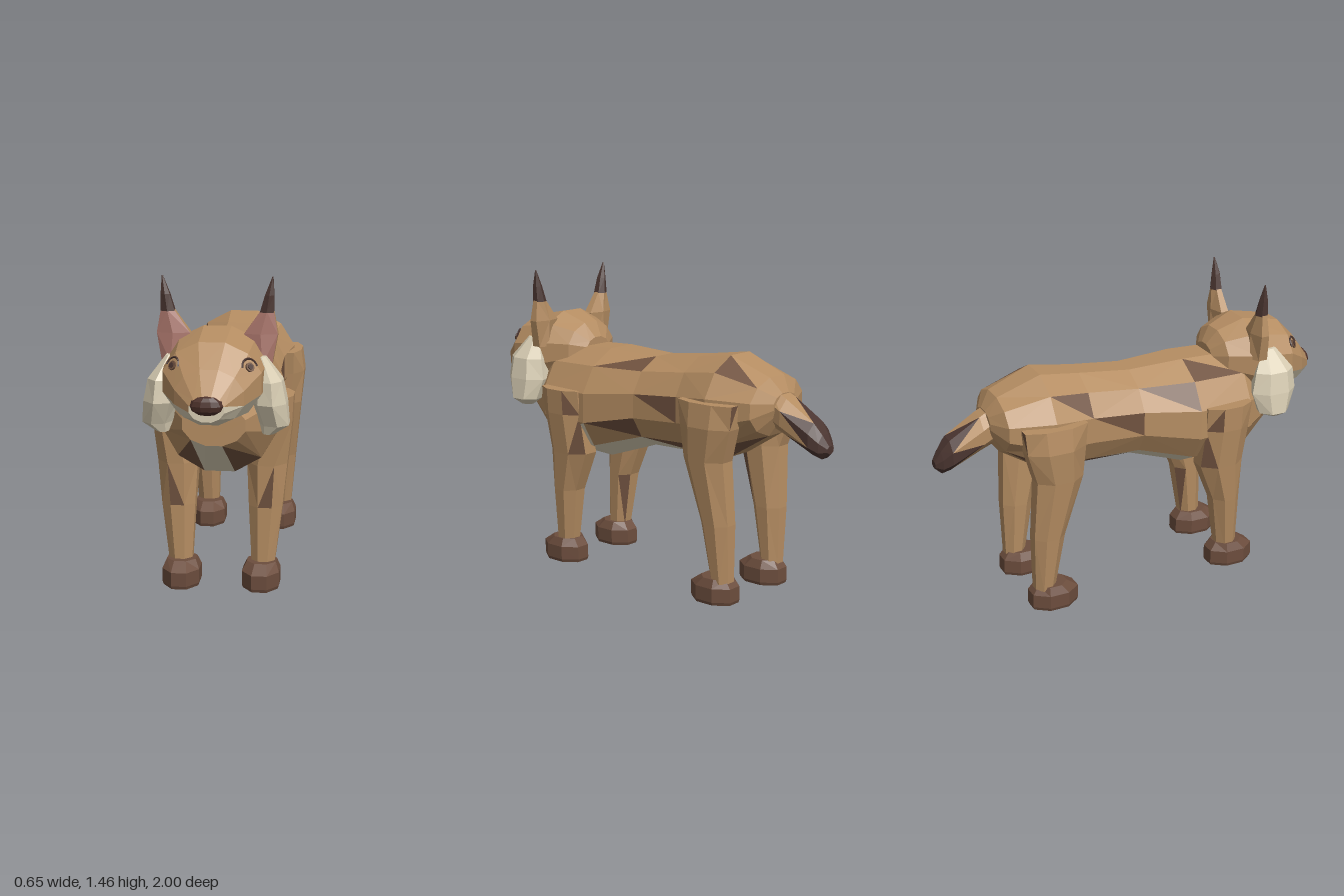
import * as THREE from 'three';

const mat = (name, color) => Object.assign(new THREE.MeshStandardMaterial({ color, flatShading: true }), { name });

export function createModel() {
  const model = new THREE.Group();
  model.name = 'wildCat';
  const palette = [
    mat('tanFur', 0xb58d62), mat('spotBrown', 0x70523f), mat('creamFur', 0xd9ceb4), mat('earPink', 0xa8746a),
    mat('tipDark', 0x4a3530), mat('pawBrown', 0x6c4d3d), mat('noseDark', 0x4c3029),
  ];
  const [TAN, SPOT, CREAM, PINK, TIP, PAW, NOSE] = palette.keys();

  // Skins a list of rings, closes both ends and colours each triangle by a rule.
  // pick(centroid, normal, ring, side, half) returns a palette index; spots recolour the nearest triangle.
  function loft(name, rings, pick, spots = [], parent = model) {
    const n = rings[0].length, tris = [];
    const add = (a, b, c, ...id) => tris.push({ p: [a, b, c], id });
    for (let r = 0; r < rings.length - 1; r++) {
      for (let i = 0; i < n; i++) {
        const j = (i + 1) % n, [a, b, c, d] = [rings[r][i], rings[r][j], rings[r + 1][j], rings[r + 1][i]];
        if ((r + i) % 2) { add(a, b, c, r, i, 0); add(a, c, d, r, i, 1); }
        else { add(a, b, d, r, i, 0); add(b, c, d, r, i, 1); }
      }
    }
    const last = rings[rings.length - 1];
    for (let i = 1; i < n - 1; i++) {
      add(rings[0][0], rings[0][i + 1], rings[0][i], -1, i, 0);
      add(last[0], last[i], last[i + 1], rings.length, i, 0);
    }
    // Turn all faces outwards whatever the ring direction or mirroring.
    const volume = tris.reduce((v, t) => v + t.p[0].dot(t.p[1].clone().cross(t.p[2])), 0);
    for (const t of tris) {
      if (volume < 0) t.p.reverse();
      const [a, b, c] = t.p;
      t.mid = a.clone().add(b).add(c).divideScalar(3);
      t.normal = b.clone().sub(a).cross(c.clone().sub(a)).normalize();
      t.m = pick(t.mid, t.normal, ...t.id);
    }
    for (const s of spots) {
      const at = new THREE.Vector3(...s);
      tris.reduce((x, y) => (x.mid.distanceTo(at) < y.mid.distanceTo(at) ? x : y)).m = SPOT;
    }
    tris.sort((x, y) => x.m - y.m);
    const geo = new THREE.BufferGeometry().setFromPoints(tris.flatMap(t => t.p));
    const used = [...new Set(tris.map(t => t.m))];
    used.forEach((m, k) => {
      geo.addGroup(tris.findIndex(t => t.m === m) * 3, tris.filter(t => t.m === m).length * 3, k);
    });
    geo.computeVertexNormals();
    const mesh = new THREE.Mesh(geo, used.map(m => palette[m]));
    mesh.name = name;
    parent.add(mesh);
    return mesh;
  }

  const ring = (n, point) => Array.from({ length: n }, (_, i) => {
    const a = (i + 0.5) / n * Math.PI * 2, k = 1 / Math.cos(Math.PI / n);
    return new THREE.Vector3(...point(Math.cos(a) * k, Math.sin(a) * k));
  });
  // Rings across z: [z, bottom, top, half width]
  const alongZ = (n, list) => list.map(([z, lo, hi, w]) =>
    ring(n, (c, s) => [c * w, (lo + hi) / 2 + s * (hi - lo) / 2, z]));
  // Rings across y: [y, inner x, outer x, back z, front z], mirrored by side
  const alongY = (n, side, list) => list.map(([y, x0, x1, z0, z1]) =>
    ring(n, (c, s) => [side * ((x0 + x1) / 2 + c * (x1 - x0) / 2), y, (z0 + z1) / 2 + s * (z1 - z0) / 2]));

  // Body with a pale belly and scattered dark patches
  loft('body', alongZ(12, [
    [0.74, 0.73, 0.92, 0.14], [0.53, 0.56, 1.08, 0.26], [0.25, 0.55, 1.09, 0.28], [-0.03, 0.645, 1.08, 0.23],
    [-0.29, 0.65, 1.11, 0.225], [-0.49, 0.66, 1.14, 0.26], [-0.70, 0.79, 1.06, 0.2], [-0.75, 0.88, 0.99, 0.09],
  ]), (c, n) => (c.z > -0.12 && n.y < -0.5 && c.y < 0.7 ? CREAM : TAN), [
    [0.22, 0.92, -0.18], [0.14, 1.06, 0.08], [-0.2, 0.98, 0.15], [-0.22, 0.85, -0.1], [0.16, 1.05, -0.6],
    [-0.16, 1.05, 0.38], [0.12, 0.66, -0.2], [-0.12, 0.66, -0.2], [0.14, 0.7, -0.58], [-0.14, 0.7, -0.58],
    [0.14, 0.68, 0.6], [-0.14, 0.68, 0.6], [-0.22, 0.95, -0.35], [0.23, 0.78, 0.12],
  ]);

  // Head with a pale mouth
  const head = loft('head', alongZ(12, [
    [0.41, 1.0, 1.12, 0.08], [0.46, 0.93, 1.19, 0.16], [0.59, 0.85, 1.24, 0.23], [0.79, 0.85, 1.2, 0.215],
    [0.89, 0.86, 1.1, 0.15], [0.97, 0.89, 1.0, 0.075],
  ]), (c, n) => (c.z > 0.81 && c.y < 0.955 && n.z > 0 ? CREAM : TAN));

  const nose = new THREE.Mesh(new THREE.SphereGeometry(1, 10, 6), palette[NOSE]);
  nose.name = 'nose';
  nose.scale.set(0.075, 0.043, 0.035);
  nose.position.set(0, 0.96, 0.965);
  model.add(nose);

  // Short tail with a zigzag dark tip
  loft('tail', alongZ(8, [
    [-0.68, 0.84, 1.02, 0.07], [-0.78, 0.805, 0.97, 0.087], [-0.93, 0.735, 0.88, 0.08], [-0.97, 0.72, 0.83, 0.055],
    [-1.0, 0.745, 0.78, 0.025],
  ]), (c, n, r, i, half) => (r > 1 || (r === 1 && half === 1) ? TIP : TAN));

  for (const side of [1, -1]) {
    const label = side > 0 ? 'left' : 'right';

    // Cheek ruffs
    loft(label + 'CheekRuff', alongY(7, side, [
      [1.12, 0.18, 0.22, 0.62, 0.69], [1.02, 0.18, 0.295, 0.57, 0.76], [0.92, 0.17, 0.315, 0.55, 0.77],
      [0.82, 0.2, 0.325, 0.58, 0.73], [0.78, 0.21, 0.26, 0.65, 0.71],
    ]), () => CREAM);

    // Ears: pink inside, dark tuft on top
    loft(label + 'Ear', alongY(6, side, [
      [1.08, 0.16, 0.245, 0.56, 0.64], [1.21, 0.12, 0.268, 0.56, 0.63], [1.31, 0.19, 0.25, 0.575, 0.62],
    ]), (c, n) => (n.z > 0.25 ? PINK : TAN));
    loft(label + 'EarTuft', alongY(6, side, [
      [1.305, 0.188, 0.25, 0.57, 0.625], [1.38, 0.21, 0.25, 0.58, 0.62], [1.46, 0.241, 0.246, 0.594, 0.6],
    ]), () => TIP);

    // Eyes sit on the head surface
    const hit = new THREE.Raycaster(new THREE.Vector3(side * 0.165, 1.1, 2), new THREE.Vector3(0, 0, -1))
      .intersectObject(head)[0];
    const eye = new THREE.Group();
    eye.name = label + 'Eye';
    eye.position.copy(hit.point).addScaledVector(hit.face.normal, 0.004);
    eye.lookAt(eye.position.clone().add(hit.face.normal));
    const brow = new THREE.Mesh(new THREE.TorusGeometry(0.038, 0.005, 4, 10, Math.PI), palette[TIP]);
    brow.name = 'eyelid';
    const iris = new THREE.Mesh(new THREE.CylinderGeometry(0.021, 0.021, 0.008, 10), palette[SPOT]);
    iris.name = 'iris';
    const pupil = new THREE.Mesh(new THREE.CylinderGeometry(0.012, 0.012, 0.008, 8), palette[TIP]);
    pupil.name = 'pupil';
    iris.rotation.x = pupil.rotation.x = Math.PI / 2;
    pupil.position.z = 0.004;
    eye.add(brow, iris, pupil);
    model.add(eye);

    // Legs
    loft(label + 'FrontLeg', alongY(8, side, [
      [0.9, 0.2, 0.327, 0.28, 0.52], [0.78, 0.16, 0.322, 0.28, 0.515], [0.58, 0.115, 0.3, 0.27, 0.5],
      [0.38, 0.125, 0.28, 0.35, 0.495], [0.1, 0.14, 0.245, 0.39, 0.495],
    ]), () => TAN, [[side * 0.3, 0.8, 0.31], [side * 0.28, 0.68, 0.31], [side * 0.2, 0.47, 0.49], [side * 0.17, 0.3, 0.4]]);
    loft(label + 'HindLeg', alongY(8, side, [
      [0.95, 0.19, 0.3, -0.65, -0.34], [0.84, 0.15, 0.315, -0.64, -0.35], [0.68, 0.13, 0.3, -0.59, -0.36],
      [0.38, 0.13, 0.27, -0.605, -0.45], [0.1, 0.14, 0.245, -0.6, -0.5],
    ]), () => TAN, [[side * 0.26, 0.9, -0.63], [side * 0.14, 0.55, -0.45]]);

    // Paws
    for (const [name, z] of [['FrontPaw', 0.468], ['HindPaw', -0.502]]) {
      loft(label + name, alongY(8, side, [
        [0, 0.105, 0.267, z - 0.112, z + 0.112], [0.015, 0.1, 0.272, z - 0.117, z + 0.117],
        [0.08, 0.1, 0.272, z - 0.115, z + 0.117], [0.12, 0.12, 0.255, z - 0.085, z + 0.06],
      ]), () => PAW);
    }
  }
  return model;
}
